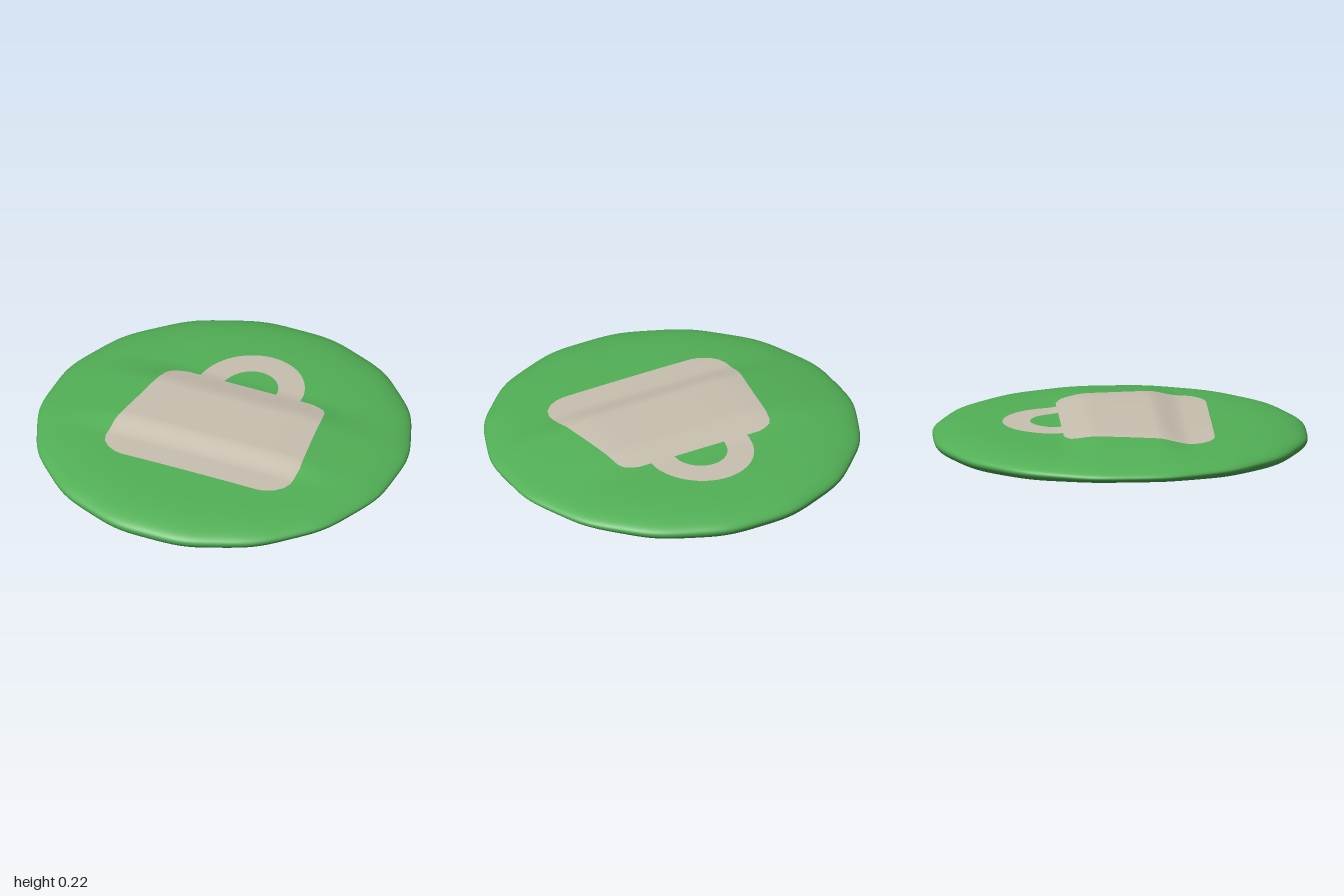
import * as THREE from 'three';
import { mergeVertices } from 'three/addons/utils/BufferGeometryUtils.js';

const { sin, cos, abs, hypot, PI } = Math;
const smooth = THREE.MathUtils.smoothstep;
const lerp = THREE.MathUtils.lerp;

// Height of the pebble-like disc: thinner and more tapered towards +-x, rounder towards +-z
function height(x, z, top) {
  const r = Math.min(1, hypot(x, z));
  const k = r > 1e-6 ? (x * x) / (x * x + z * z) : 0;
  const mid = lerp(0.1, 0.108, k);
  const p = top ? lerp(5.7, 4, k) : lerp(6, 1.6, k);
  const dome = Math.sqrt(Math.max(0, 1 - Math.pow(r, p)));
  if (!top) return mid * (1 - dome);
  // Broad raised pad running across the middle
  const across = z > 0 ? 1 - smooth(z, 0.17, 0.35) : 1 - smooth(-z, 0.14, 0.38);
  const along = 1 - smooth(abs(x), 0.35, 0.95);
  return mid + (0.181 - mid) * dome + 0.036 * across * along;
}

// Smooth surface from a rule (u, v) -> [x, y, z]
function surface(nu, nv, rule) {
  const pos = [], idx = [];
  for (let i = 0; i <= nu; i++)
    for (let j = 0; j <= nv; j++) pos.push(...rule(i / nu, j / nv));
  for (let i = 0; i < nu; i++)
    for (let j = 0; j < nv; j++) {
      const a = i * (nv + 1) + j, b = a + nv + 1;
      idx.push(a, b, b + 1, a, b + 1, a + 1);
    }
  let g = new THREE.BufferGeometry();
  g.setAttribute('position', new THREE.Float32BufferAttribute(pos, 3));
  g.setIndex(idx);
  g = mergeVertices(g, 1e-5);
  g.computeVertexNormals();
  return g;
}

// Half width of the bag body at depth z, from a short outline table
const outline = [
  [-0.32, 0.36], [-0.31, 0.4], [-0.29, 0.44], [-0.26, 0.46], [-0.2, 0.472],
  [0.0, 0.5], [0.24, 0.538], [0.36, 0.538], [0.41, 0.52], [0.45, 0.48],
  [0.475, 0.43], [0.482, 0.39],
];
function halfWidth(z) {
  for (let i = 1; i < outline.length; i++) {
    const [z0, w0] = outline[i - 1], [z1, w1] = outline[i];
    if (z <= z1) return lerp(w0, w1, (z - z0) / (z1 - z0));
  }
  return outline[outline.length - 1][1];
}

export function createModel() {
  const green = new THREE.MeshStandardMaterial({ color: 0x52b056 });
  green.name = 'green';
  const beige = new THREE.MeshStandardMaterial({ color: 0xc8c0b0, side: THREE.DoubleSide });
  beige.name = 'beige';

  const group = new THREE.Group();
  const add = (name, geometry, material) => {
    const mesh = new THREE.Mesh(geometry, material);
    mesh.name = name;
    group.add(mesh);
  };

  // Disc: over the top from the centre to the rim, then back underneath
  add('disc', surface(80, 144, (u, v) => {
    const a = (v % 1) * 2 * PI;
    const r = u === 1 ? 0 : sin(u * PI);
    const x = r * sin(a), z = r * cos(a);
    const wobble = 0.998 - 0.004 * cos(16 * a) * r * r;
    return [x * wobble, height(x, z, u <= 0.5), z * wobble];
  }), green);

  // Inlay following the top of the disc
  const inlay = (x, z) => [x, height(x, z, true) + 0.003, z];

  add('bagBody', surface(100, 60, (u, v) => {
    const z = lerp(-0.32, 0.482, u);
    return inlay(0.01 + halfWidth(z) * (2 * v - 1), z);
  }), beige);

  add('bagHandle', surface(14, 64, (u, v) => {
    const a = lerp(PI / 2, PI * 1.5, v);
    return inlay(0.01 + lerp(0.15, 0.29, u) * sin(a), -0.312 + lerp(0.165, 0.313, u) * cos(a));
  }), beige);

  return group;
}
